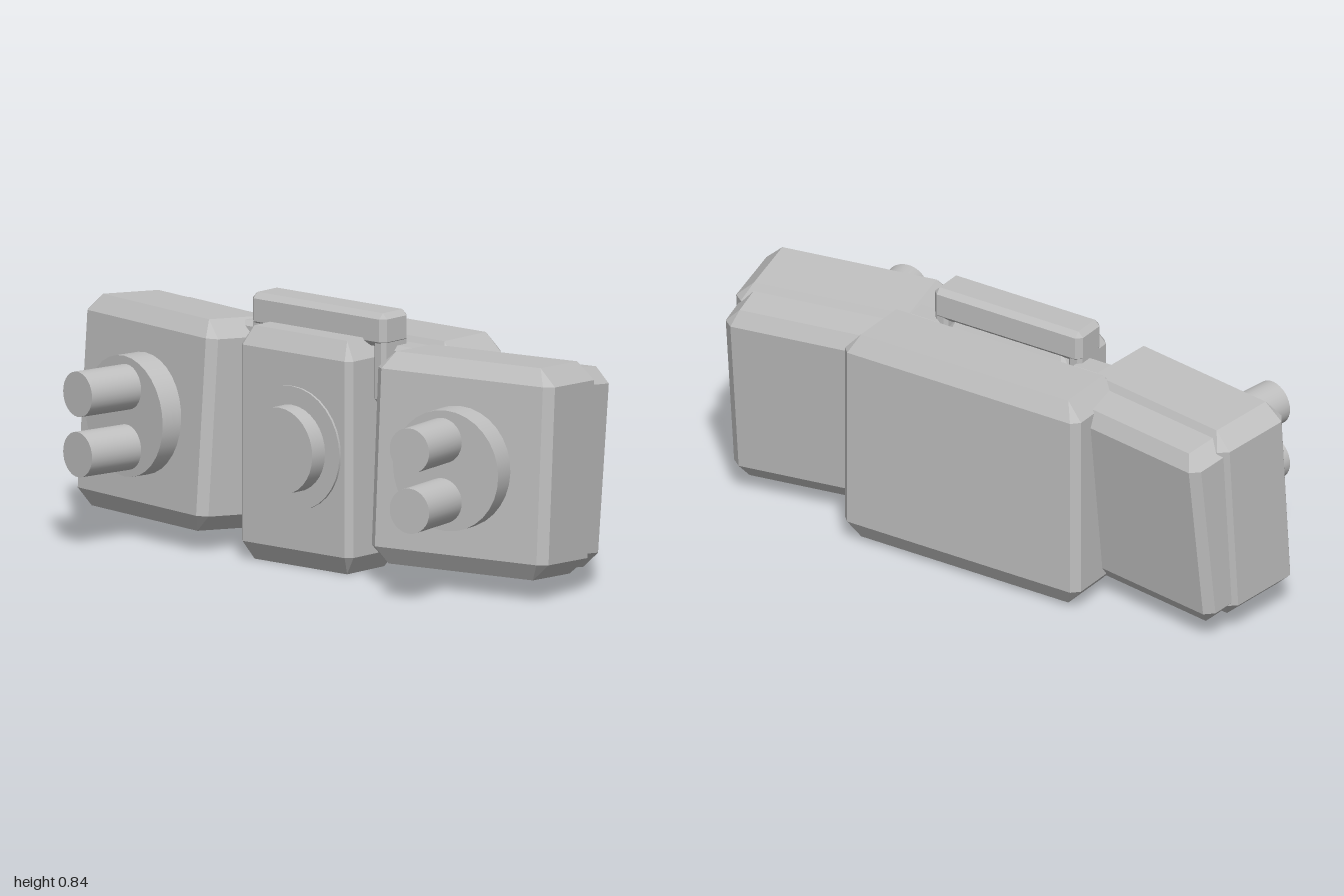
import * as THREE from 'three';
import { ConvexGeometry } from 'three/addons/geometries/ConvexGeometry.js';

const grey = new THREE.MeshStandardMaterial({ color: 0xbfbfbf });
grey.name = 'plain grey';

// Box with bevelled edges: bx, by, bz set the bevel of the top and bottom rims,
// v sets the bevel of the upright edges.
function bevelBox(name, w, h, d, [bx, by, bz, v]) {
  const X = w / 2, Y = h / 2, Z = d / 2, points = [];
  for (const sx of [-1, 1]) for (const sy of [-1, 1]) for (const sz of [-1, 1]) {
    points.push(
      new THREE.Vector3(sx * X, sy * (Y - by), sz * (Z - v)),
      new THREE.Vector3(sx * (X - v), sy * (Y - by), sz * Z),
      new THREE.Vector3(sx * (X - bx), sy * Y, sz * (Z - bz)));
  }
  const mesh = new THREE.Mesh(new ConvexGeometry(points), grey);
  mesh.name = name;
  return mesh;
}

// Cylinder along z, from z0 to z1
function disc(name, r, x, y, z0, z1) {
  const geometry = new THREE.CylinderGeometry(r, r, z1 - z0, 32).rotateX(Math.PI / 2);
  const mesh = new THREE.Mesh(geometry, grey);
  mesh.name = name;
  mesh.position.set(x, y, (z0 + z1) / 2);
  return mesh;
}

function place(mesh, x, y, z, tilt = 0) {
  mesh.position.set(x, y, z);
  mesh.rotation.x = THREE.MathUtils.degToRad(tilt);
  return mesh;
}

export function createModel() {
  const model = new THREE.Group();
  model.name = 'threePartUnit';

  // Centre: rear body, front block and its round button
  model.add(
    place(bevelBox('rearBody', 0.9, 0.73, 0.27, [0.055, 0.06, 0.035, 0.025]), 0, 0.38, -0.25),
    place(bevelBox('frontBlock', 0.47, 0.755, 0.25, [0.04, 0.06, 0.035, 0.02]), 0, 0.378, 0),
    disc('buttonBase', 0.2, 0, 0.39, 0.1, 0.133),
    disc('button', 0.14, 0, 0.39, 0.1, 0.195));

  // Top bar with an arm hanging down at each end
  model.add(place(bevelBox('topBar', 0.565, 0.11, 0.13, [0.018, 0.018, 0.018, 0.018]), 0, 0.785, -0.05));

  for (const s of [-1, 1]) {
    model.add(
      place(bevelBox('barArm', 0.05, 0.23, 0.12, [0.012, 0.012, 0.012, 0.012]), s * 0.255, 0.665, -0.05),
      place(bevelBox('podConnector', 0.22, 0.18, 0.1, [0.015, 0.015, 0.015, 0.015]), s * 0.36, 0.64, -0.09));

    // Side pod, turned outward; its boxes also lean back
    const pod = new THREE.Group();
    pod.name = s > 0 ? 'leftPod' : 'rightPod';
    pod.rotation.y = s * THREE.MathUtils.degToRad(10);
    pod.add(
      place(bevelBox('podFront', 0.655, 0.68, 0.295, [0.06, 0.055, 0.035, 0.028]), s * 0.642, 0.4, 0.06, -4),
      place(bevelBox('podBack', 0.62, 0.64, 0.2, [0.05, 0.05, 0.03, 0.028]), s * 0.645, 0.385, -0.09, -7),
      disc('podDisc', 0.195, s * 0.638, 0.41, 0.12, 0.282));
    for (const y of [0.312, 0.507]) pod.add(disc('barrel', 0.073, s * 0.625, y, 0.25, 0.482));
    model.add(pod);
  }
  return model;
}
